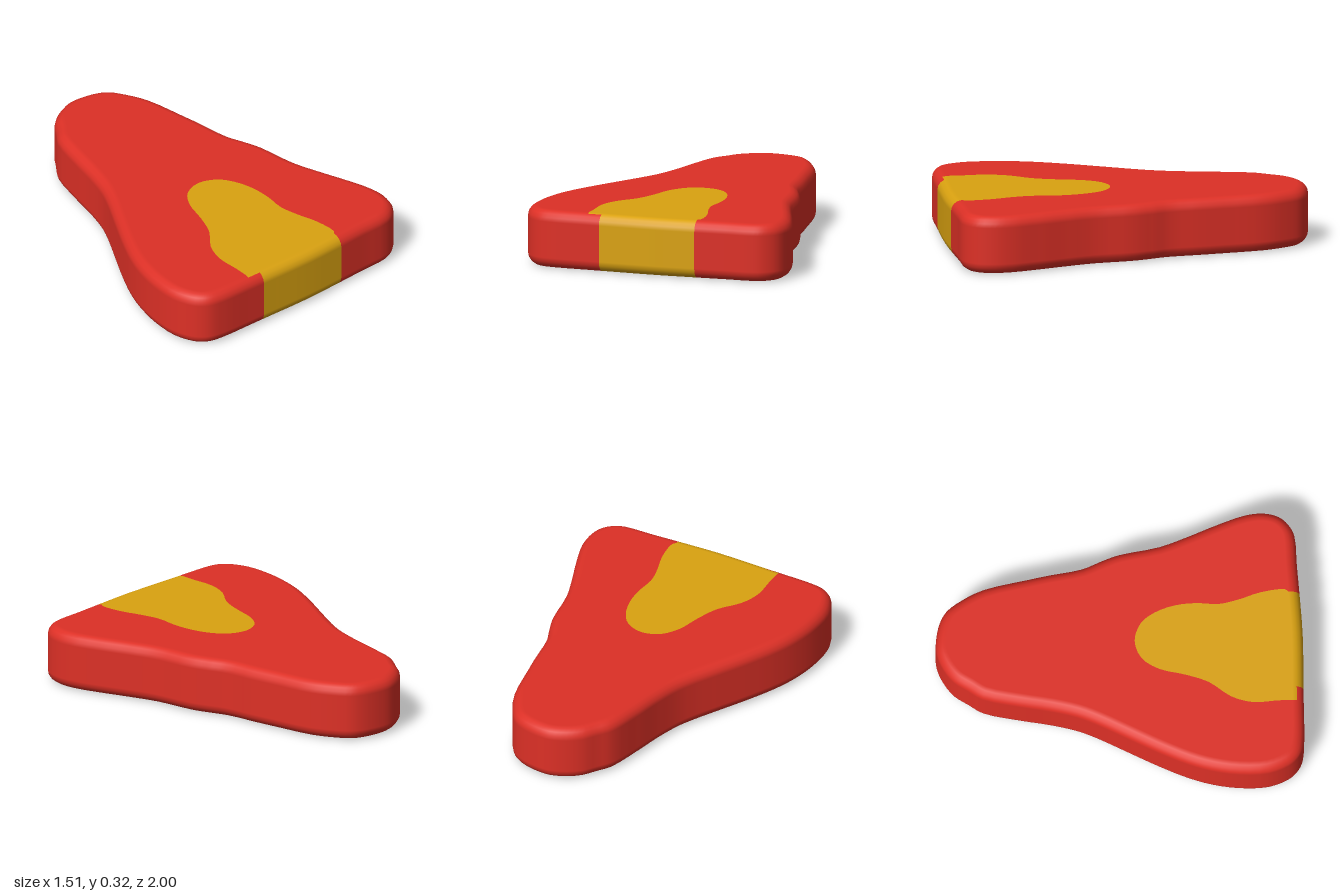
import * as THREE from 'three';

const HEIGHT = 0.32, BEVEL = 0.06, STEPS = 4, SUB = 3;

// Outline in x, z: starts at the right edge of the yellow front and runs round the back.
const OUTLINE = [
  [0.285, 0.98], [0.45, 0.968], [0.62, 0.957], [0.68, 0.93], [0.73, 0.875], [0.752, 0.79], [0.742, 0.69],
  [0.69, 0.54], [0.62, 0.37], [0.565, 0.22], [0.522, 0], [0.485, -0.1], [0.443, -0.2], [0.41, -0.38],
  [0.385, -0.5], [0.33, -0.74], [0.27, -0.86], [0.21, -0.94], [0.15, -0.975], [0.05, -0.998],
  [-0.04, -0.997], [-0.13, -0.96], [-0.2, -0.905], [-0.25, -0.83], [-0.3, -0.75], [-0.345, -0.55],
  [-0.375, -0.38], [-0.41, -0.24], [-0.45, -0.14], [-0.54, 0.04], [-0.62, 0.2], [-0.69, 0.36],
  [-0.73, 0.49], [-0.753, 0.64], [-0.748, 0.8], [-0.705, 0.91], [-0.665, 0.955], [-0.62, 0.98],
  [-0.54, 0.993], [-0.345, 0.994], [-0.265, 0.994], [0.05, 0.994],
];
// Yellow patch border on the flat faces, from right to left, between its two ends on the rim.
const PATCH = [
  [0.295, 0.9], [0.28, 0.77], [0.24, 0.65], [0.215, 0.54], [0.222, 0.42], [0.21, 0.3], [0.17, 0.19],
  [0.11, 0.115], [0.01, 0.08], [-0.09, 0.115], [-0.155, 0.21], [-0.19, 0.35], [-0.235, 0.48],
  [-0.32, 0.6], [-0.355, 0.72], [-0.347, 0.85],
];

function curve(points, closed) {
  return new THREE.CatmullRomCurve3(points.map(([x, z]) => new THREE.Vector3(x, 0, z)), closed, 'centripetal');
}

export function createModel() {
  const red = new THREE.MeshStandardMaterial({ color: 0xdd3026 });
  red.name = 'red';
  const yellow = new THREE.MeshStandardMaterial({ color: 0xdaa210 });
  yellow.name = 'yellow';

  const positions = [], normals = [], redFaces = [], yellowFaces = [];
  const vertex = (x, y, z, nx, ny, nz) => {
    positions.push(x, y, z);
    normals.push(nx, ny, nz);
    return positions.length / 3 - 1;
  };

  // Smooth outline with its outward directions
  const path = curve(OUTLINE, true), count = OUTLINE.length * SUB;
  const rim = [];
  for (let i = 0; i < count; i++) {
    const p = path.getPoint(i / count), t = path.getTangent(i / count);
    rim.push({ x: p.x, z: p.z, nx: -t.z, nz: t.x });
  }
  const patchStart = (OUTLINE.length - 3) * SUB, frontStart = (OUTLINE.length - 2) * SUB;

  // Rounded edge profile, from the bottom rim up to the top rim
  const profile = [];
  for (const side of [-1, 1]) {
    for (let k = 0; k <= STEPS; k++) {
      const a = (side < 0 ? STEPS - k : k) / STEPS * Math.PI / 2;
      profile.push({
        inset: BEVEL * (1 - Math.cos(a)),
        y: HEIGHT / 2 + side * (HEIGHT / 2 - BEVEL + BEVEL * Math.sin(a)),
        out: Math.cos(a), up: side * Math.sin(a),
      });
    }
  }
  const rows = profile.map(({ inset, y, out, up }) => rim.map((p) =>
    vertex(p.x - p.nx * inset, y, p.z - p.nz * inset, p.nx * out, up, p.nz * out)));

  // Side wall; the front band is yellow and flares out at the rims
  const last = rows.length - 1;
  for (let r = 0; r < last; r++) {
    const flare = r === 0 || r === last - 1;
    for (let i = 0; i < count; i++) {
      const j = (i + 1) % count;
      const faces = i >= (flare ? patchStart : frontStart) ? yellowFaces : redFaces;
      faces.push(rows[r][i], rows[r][j], rows[r + 1][j], rows[r][i], rows[r + 1][j], rows[r + 1][i]);
    }
  }

  // Flat faces, each split along the patch border
  const fill = (loop, up, faces) => {
    const flat = loop.map((v) => new THREE.Vector2(positions[3 * v], positions[3 * v + 2]));
    for (const [a, b, c] of THREE.ShapeUtils.triangulateShape(flat, [])) {
      const area = THREE.ShapeUtils.area([flat[a], flat[b], flat[c]]);
      if (area * up < 0) faces.push(loop[a], loop[b], loop[c]);
      else faces.push(loop[a], loop[c], loop[b]);
    }
  };
  for (const [row, y, up] of [[rows[0], 0, -1], [rows[last], HEIGHT, 1]]) {
    const ends = [row[0], row[patchStart]].map((v) => [positions[3 * v], positions[3 * v + 2]]);
    const border = curve([ends[0], ...PATCH, ends[1]], false).getPoints((PATCH.length + 1) * SUB)
      .slice(1, -1).map((p) => vertex(p.x, y, p.z, 0, up, 0));
    fill([...row.slice(0, patchStart + 1), ...[...border].reverse()], up, redFaces);
    fill([...row.slice(patchStart), row[0], ...border], up, yellowFaces);
  }

  const group = new THREE.Group();
  group.name = 'roundedWedge';
  for (const [name, faces, material] of [['body', redFaces, red], ['frontPatch', yellowFaces, yellow]]) {
    const geometry = new THREE.BufferGeometry();
    geometry.setAttribute('position', new THREE.Float32BufferAttribute(positions, 3));
    geometry.setAttribute('normal', new THREE.Float32BufferAttribute(normals, 3));
    geometry.setIndex(faces);
    const mesh = new THREE.Mesh(geometry.toNonIndexed(), material);
    mesh.name = name;
    group.add(mesh);
  }
  return group;
}
